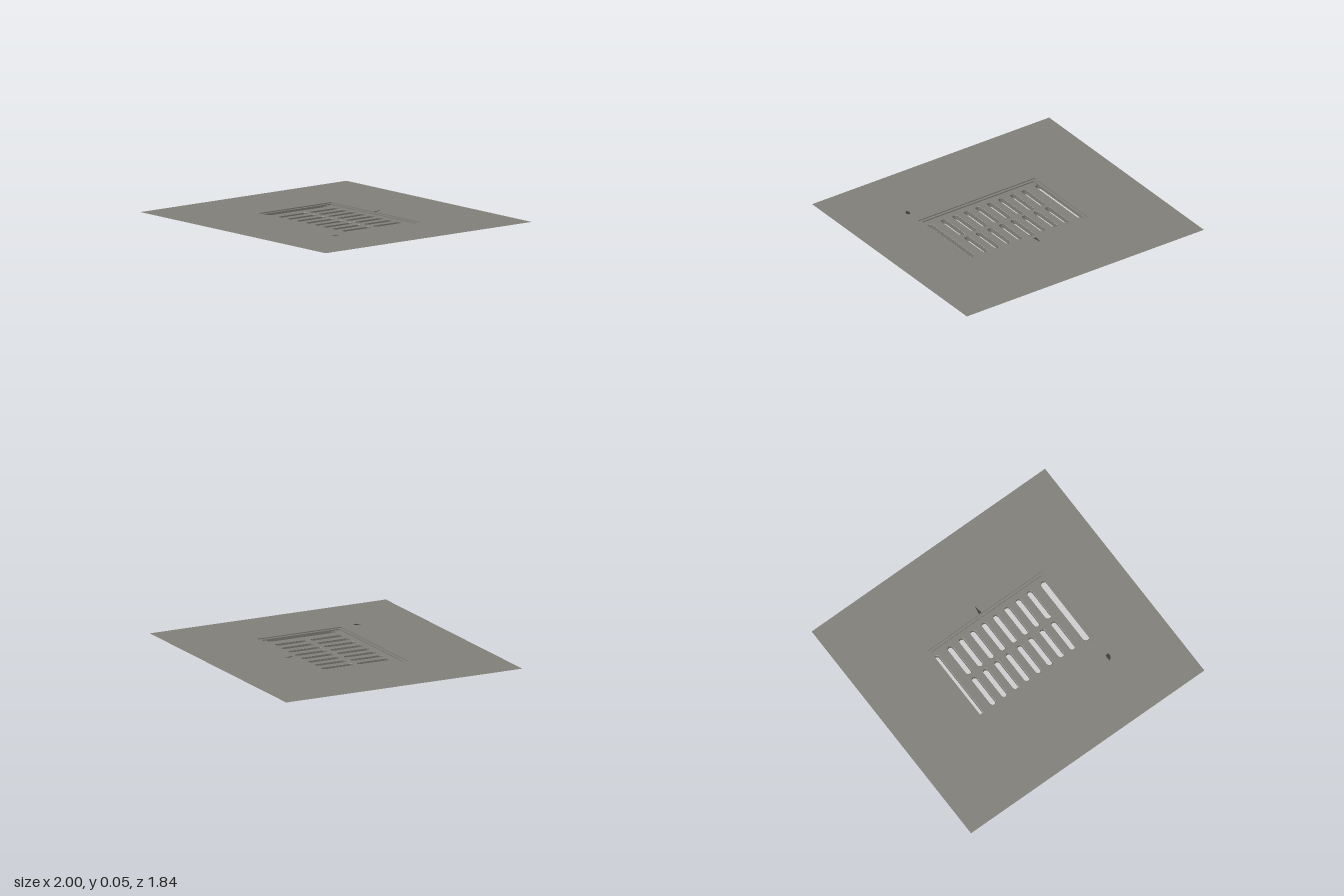
import * as THREE from 'three';

const mat = (name, color) => {
  const m = new THREE.MeshStandardMaterial({ color, side: THREE.DoubleSide });
  m.name = name;
  return m;
};

// Outlines lie in plan as (x, -z), counter-clockwise from above
const rect = (x0, x1, z0, z1) => [[x0, z1], [x1, z1], [x1, z0], [x0, z0]]
  .map(([x, z]) => new THREE.Vector2(x, -z));

// Slot with two round ends
function slotOutline(x, z0, z1, width, inset = 0) {
  const r = width / 2, points = [], n = 6;
  for (const [zc, start] of [[z0 + r, 0], [z1 - r, Math.PI]]) {
    for (let i = 0; i <= n; i++) {
      const a = start + Math.PI * i / n;
      points.push(new THREE.Vector2(x + (r - inset) * Math.cos(a), -zc + (r - inset) * Math.sin(a)));
    }
  }
  return points;
}

// Horizontal sheet with holes
function sheet(outline, y, holes = []) {
  const shape = new THREE.Shape(outline);
  shape.holes = holes.map((h) => new THREE.Path(h));
  return new THREE.ShapeGeometry(shape).rotateX(-Math.PI / 2).translate(0, y, 0);
}

// Upright wall along an outline
function wall(outline, y0, y1, inward = false) {
  const pos = [];
  outline.forEach((p, i) => {
    const q = outline[(i + 1) % outline.length];
    const [a, b] = inward ? [q, p] : [p, q];
    const A = [a.x, y0, -a.y], B = [b.x, y0, -b.y], C = [b.x, y1, -b.y], D = [a.x, y1, -a.y];
    pos.push(...A, ...B, ...C, ...A, ...C, ...D);
  });
  const g = new THREE.BufferGeometry();
  g.setAttribute('position', new THREE.Float32BufferAttribute(pos, 3));
  g.computeVertexNormals();
  return g;
}

export function createModel() {
  const model = new THREE.Group();
  const stone = mat('stoneGrey', 0x807e78);
  const metal = mat('lightGrey', 0xcccccc);
  const dark = mat('darkGrey', 0x3c3b38);
  const add = (name, geometry, material, parent = model) => {
    const mesh = new THREE.Mesh(geometry, material);
    mesh.name = name;
    parent.add(mesh);
  };

  const top = 0.05, step = 0.043, bed = 0.035;
  const outer = rect(-0.45, 0.53, -0.33, 0.32);
  const inner = rect(-0.43, 0.51, -0.31, 0.30);

  // Ground slab surface with the opening for the drain
  add('groundSheet', sheet(rect(-1, 1, -0.92, 0.92), top, [outer]), stone);

  // Stepped frame around the recess
  const frame = new THREE.Group();
  frame.name = 'drainFrame';
  model.add(frame);
  add('frameOuterWall', wall(outer, bed, top, true), stone, frame);
  add('frameLedge', sheet(outer, step, [inner]), stone, frame);
  add('frameInnerWall', wall(inner, bed, step, true), stone, frame);

  // Slots: two rows of eight, plus one long slot at each end
  const slots = [[-0.424, -0.275, 0.26, 0.05], [0.496, -0.275, 0.26, 0.058]];
  for (let i = 0; i < 8; i++) {
    const x = -0.305 + i * 0.0973;
    slots.push([x, -0.275, -0.025, 0.045], [x, 0.003, 0.255, 0.045]);
  }
  add('gratePlate', sheet(outer, bed, slots.map((s) => slotOutline(...s))), stone);

  // Trough below each slot: light shell and floor, stone lining
  for (const s of slots) {
    const trough = new THREE.Group();
    trough.name = 'slotTrough';
    model.add(trough);
    const outline = slotOutline(...s);
    add('troughShell', wall(outline, 0, bed), metal, trough);
    add('troughFloor', sheet(outline, 0), metal, trough);
    add('troughLining', wall(slotOutline(...s, 0.002), 0.001, bed, true), stone, trough);
  }

  // Small chips in the ground
  const chip = (points) => sheet(points.map(([x, z]) => new THREE.Vector2(x, -z)), top + 0.001);
  add('backChip', chip([[0.0, -0.335], [0.022, -0.335], [0.012, -0.4]]), dark);
  add('frontChip', chip([[0.517, 0.45], [0.522, 0.475], [0.545, 0.45], [0.545, 0.425], [0.52, 0.425]]), dark);

  return model;
}
